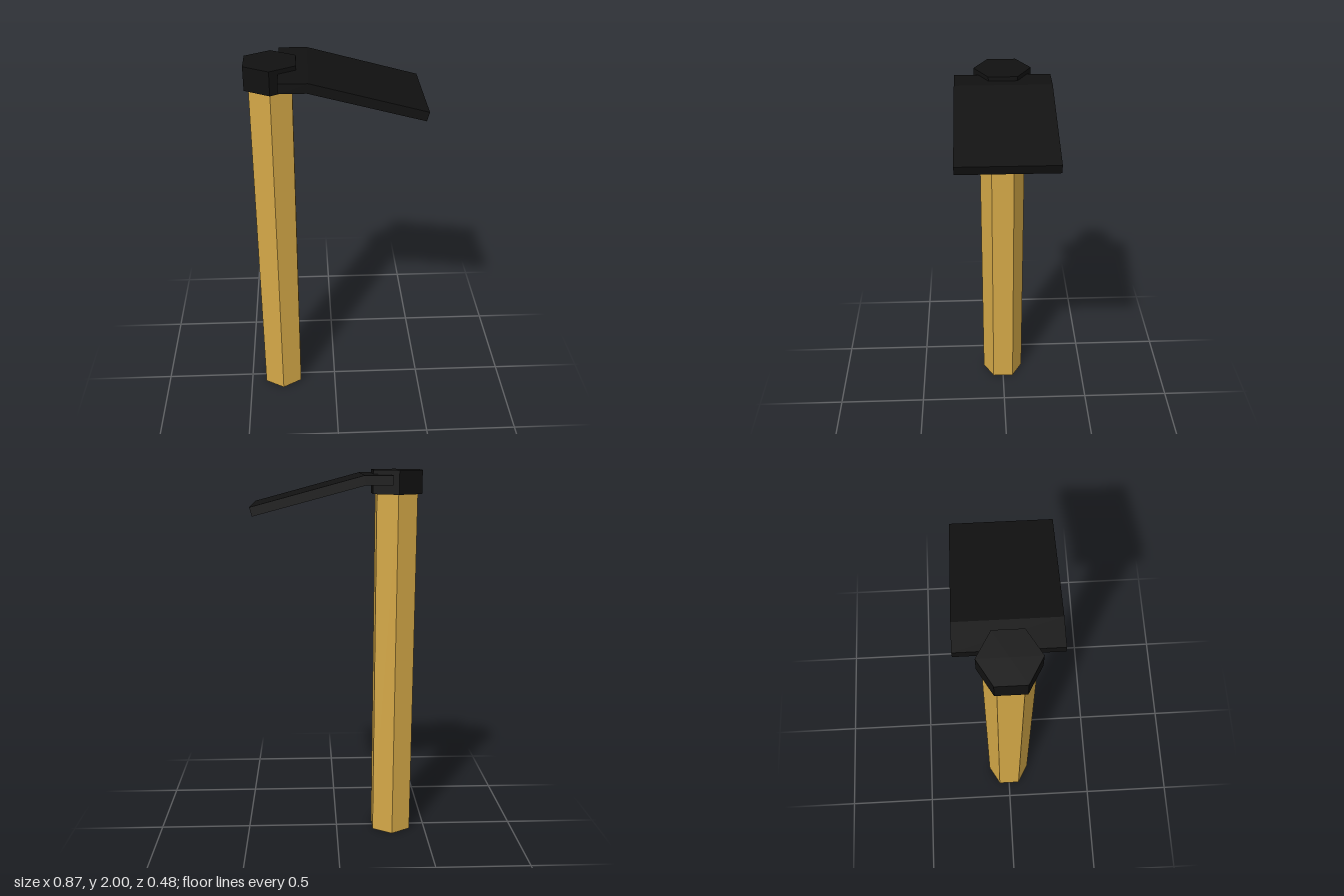
import * as THREE from 'three';

const wood = new THREE.MeshStandardMaterial({ name: 'wood', color: 0xd4a847 });
const blackIron = new THREE.MeshStandardMaterial({ name: 'blackIron', color: 0x111111 });

const HANDLE_X = -0.31;

// Upright six-sided prism between two heights, with corners on the z axis
function hexPrism(name, radius, y0, y1, material) {
  const geometry = new THREE.CylinderGeometry(radius, radius, y1 - y0, 6).toNonIndexed();
  geometry.computeVertexNormals();
  const mesh = new THREE.Mesh(geometry, material);
  mesh.name = name;
  mesh.position.set(HANDLE_X, (y0 + y1) / 2, 0);
  return mesh;
}

// Bent plate: side profile extruded across the blade's width
function blade() {
  const width = 0.484;
  const profile = new THREE.Shape([
    [-0.27, 1.931], [-0.136, 1.931], [0.422, 1.783],
    [0.434, 1.828], [-0.13, 1.979], [-0.27, 1.979],
  ].map(([x, y]) => new THREE.Vector2(x, y)));
  const geometry = new THREE.ExtrudeGeometry(profile, { depth: width, bevelEnabled: false });
  geometry.translate(0, 0, -width / 2);
  const mesh = new THREE.Mesh(geometry, blackIron);
  mesh.name = 'blade';
  return mesh;
}

export function createModel() {
  const model = new THREE.Group();
  model.name = 'hoe';
  model.add(
    hexPrism('handle', 0.121, 0, 1.95, wood),
    hexPrism('headCollar', 0.145, 1.88, 2, blackIron),
    blade(),
  );
  return model;
}
